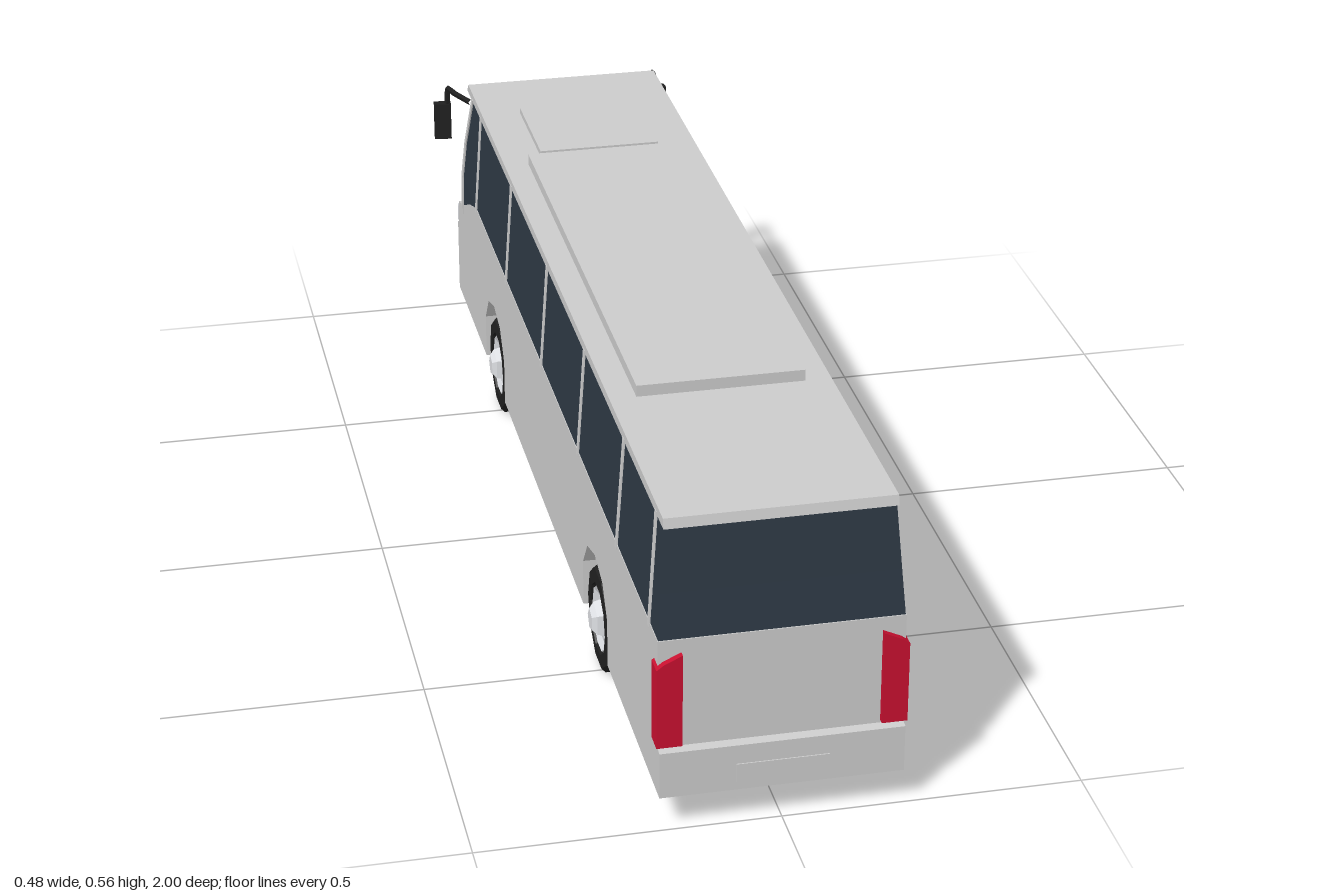
import * as THREE from 'three';

const mat = (color) => new THREE.MeshStandardMaterial({ color, flatShading: true });

export function createModel() {
  const bus = new THREE.Group();
  const grey = mat(0xcccccc), glass = mat(0x2d3843), black = mat(0x202020);
  const red = mat(0xc81030), light = mat(0xdcdee2);

  const add = (name, geometry, material, parent = bus) => {
    const mesh = new THREE.Mesh(geometry, material);
    mesh.name = name;
    parent.add(mesh);
    return mesh;
  };
  const box = (name, x, y, z, w, h, d, material) =>
    add(name, new THREE.BoxGeometry(w, h, d), material).position.set(x, y, z);
  const shape = (pts) => new THREE.Shape(pts.map(([a, b]) => new THREE.Vector2(a, b)));
  const extrude = (pts, depth) =>
    new THREE.ExtrudeGeometry(shape(pts), { depth, bevelEnabled: false });
  // Side outline given as [z, y], extruded from x0 to x0 + depth
  const sideExtrude = (pts, x0, depth) =>
    extrude(pts.map(([z, y]) => [-z, y]), depth).rotateY(Math.PI / 2).translate(x0, 0, 0);

  // Lower body: the core is plain, the outer strips have wheel openings
  const axles = [-0.52, 0.48];
  const upper = [
    [1, 0.065], [1, 0.147], [0.985, 0.15], [0.985, 0.343], [-0.715, 0.343],
    [-0.8, 0.315], [-0.89, 0.275], [-0.935, 0.265], [-0.942, 0.215], [-0.955, 0.212], [-0.955, 0.065],
  ];
  const arch = [[-0.105, 0.065], [-0.105, 0.15], [-0.065, 0.202], [0, 0.22],
    [0.065, 0.202], [0.105, 0.15], [0.105, 0.065]];
  const notched = [...upper];
  for (const a of axles) notched.push(...arch.map(([z, y]) => [z + a, y]));
  add('bodyCore', sideExtrude(upper, -0.11, 0.22), grey);
  for (const x0 of [-0.2, 0.11]) add('bodySide', sideExtrude(notched, x0, 0.09), grey);

  // Glasshouse: rings of [y, rear z, pillar z, front z] joined into a tapered shell
  const halfWidth = (y) => 0.199 - Math.max(0, y - 0.34) * 0.07;
  const levels = [[0.25, 0.98, -0.893, -0.932], [0.343, 0.983, -0.885, -0.936],
    [0.42, 0.972, -0.87, -0.932], [0.535, 0.957, -0.815, -0.865]];
  const verts = [], index = [], n = 6;
  for (const [y, rear, pillar, front] of levels) {
    const w = halfWidth(y), f = w - 0.02;
    verts.push(-w, y, rear, w, y, rear, w, y, pillar, f, y, front, -f, y, front, -w, y, pillar);
  }
  for (let l = 0; l < levels.length - 1; l++) {
    for (let i = 0; i < n; i++) {
      const a = l * n + i, b = l * n + (i + 1) % n;
      index.push(a, b, b + n, a, b + n, a + n);
    }
  }
  const shell = new THREE.BufferGeometry();
  shell.setAttribute('position', new THREE.Float32BufferAttribute(verts, 3));
  shell.setIndex(index);
  shell.computeVertexNormals();
  add('glasshouse', shell, glass);

  // Roof with front edge sloping back, air conditioning unit and hatch
  add('roof', sideExtrude([[0.967, 0.53], [0.963, 0.547], [-0.858, 0.547], [-0.872, 0.53]],
    -0.187, 0.374), grey);
  box('airConditioner', 0, 0.555, 0.055, 0.284, 0.024, 0.99, grey);
  box('roofHatch', 0, 0.55, -0.58, 0.226, 0.016, 0.22, grey);

  // Window pillars lean inwards with the glass
  const strip = (pts, width, s) => {
    const outline = [...pts.map(([z, y]) => [z + width / 2, y]),
      ...pts.map(([z, y]) => [z - width / 2, y]).reverse()];
    const g = sideExtrude(outline, -0.0025, 0.005);
    const p = g.attributes.position;
    for (let i = 0; i < p.count; i++) p.setX(i, p.getX(i) + s * halfWidth(p.getY(i)));
    g.computeVertexNormals();
    return g;
  };
  for (const s of [-1, 1]) {
    for (const z of [0.665, 0.335, -0.01, -0.375, -0.715]) {
      add('windowPillar', strip([[z, 0.335], [z, 0.535]], 0.013, s), grey);
    }
    add('rearPillar', strip([[0.92, 0.335], [0.912, 0.535]], 0.013, s), grey);
    add('frontPillar', strip([[-0.887, 0.26], [-0.879, 0.343], [-0.864, 0.42], [-0.81, 0.535]],
      0.015, s), grey);
  }

  // Rear lights wrap the corners
  for (const s of [-1, 1]) {
    const pts = [[0.162, 0.155], [0.204, 0.155], [0.204, 0.297], [0.192, 0.306], [0.162, 0.32]];
    add('tailLight', extrude(pts.map(([x, y]) => [s * x, y]), 0.036).translate(0, 0, 0.96), red);
  }
  box('rearPlate', 0, 0.095, 1, 0.152, 0.036, 0.004, grey);

  // Front face: grille, headlights and plate
  add('grille', extrude([[-0.065, 0.175], [0.065, 0.175], [0.095, 0.235], [-0.095, 0.235]], 0.03)
    .translate(0, 0, -0.958), black);
  add('frontPlate', extrude([[-0.045, 0.09], [0.045, 0.09], [0.065, 0.135], [-0.065, 0.135]], 0.01)
    .translate(0, 0, -0.96), grey);
  for (const s of [-1, 1]) {
    const pts = [[0.08, 0.195], [0.12, 0.182], [0.185, 0.19], [0.199, 0.215], [0.199, 0.25], [0.13, 0.235]];
    add('headlight', extrude(pts.map(([x, y]) => [s * x, y]), 0.03).translate(0, 0, -0.959), light);
  }
  box('doorHandle', 0.2005, 0.21, -0.75, 0.005, 0.01, 0.032, black);

  // Mirrors on bent arms
  for (const s of [-1, 1]) {
    const path = new THREE.CurvePath();
    const pts = [[0.182, 0.508, -0.86], [0.204, 0.502, -0.93], [0.21, 0.494, -0.981], [0.212, 0.43, -0.987]]
      .map(([x, y, z]) => new THREE.Vector3(s * x, y, z));
    for (let i = 0; i < 3; i++) path.add(new THREE.LineCurve3(pts[i], pts[i + 1]));
    add('mirrorArm', new THREE.TubeGeometry(path, 14, 0.006, 5), black);
    const head = add('mirror', new THREE.BoxGeometry(0.034, 0.075, 0.018), black);
    head.position.set(s * 0.221, 0.423, -0.987);
    head.rotation.y = s * 0.12;
  }

  // Wheels: faceted tyre, dished rim and five-sided hub, axis turned to x
  const lathe = (pts, sides) => new THREE.LatheGeometry(
    pts.map(([r, h]) => new THREE.Vector2(r, h)), sides).rotateZ(-Math.PI / 2);
  const tyre = lathe([[0, 0.122], [0.095, 0.122], [0.095, 0.188], [0.088, 0.195],
    [0.064, 0.196], [0.062, 0.182]], 10);
  const rim = lathe([[0.064, 0.182], [0.058, 0.193], [0.046, 0.186], [0, 0.19]], 10);
  const hub = lathe([[0.034, 0.185], [0.03, 0.201], [0.02, 0.209], [0, 0.209]], 5);
  for (const z of axles) {
    for (const s of [-1, 1]) {
      const wheel = new THREE.Group();
      wheel.name = 'wheel';
      add('tyre', tyre, black, wheel);
      add('rim', rim, light, wheel);
      add('hub', hub, light, wheel);
      wheel.position.set(0, 0.095, z);
      wheel.rotation.y = s > 0 ? 0 : Math.PI;
      bus.add(wheel);
    }
  }
  return bus;
}
